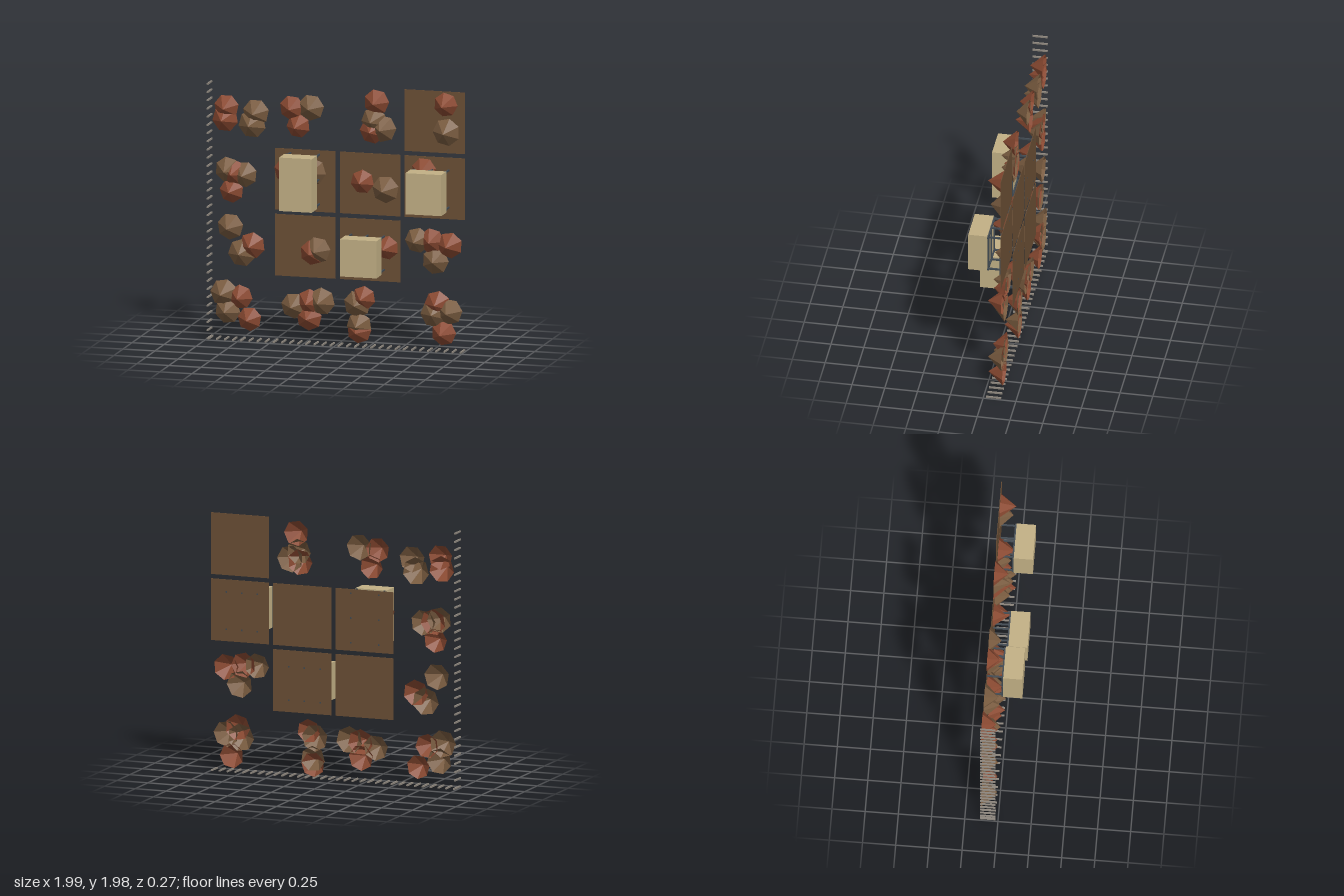
import * as THREE from 'three';

const mat = (color, opts = {}) => new THREE.MeshStandardMaterial({ color, ...opts });
const BACK = -0.135; // rear plane everything starts from

export function createModel() {
  const model = new THREE.Group();
  const brown = mat(0x6b4f35), tan = mat(0xc2b085), steel = mat(0x414a52), grey = mat(0x8c857c);
  const faceted = { flatShading: true, side: THREE.DoubleSide };
  const redRock = mat(0x8b4a32, faceted), brownRock = mat(0x7a5c40, faceted);

  // box given by its extents
  const box = (parent, name, m, x0, x1, y0, y1, z0, z1) => {
    const mesh = new THREE.Mesh(new THREE.BoxGeometry(x1 - x0, y1 - y0, z1 - z0), m);
    mesh.position.set((x0 + x1) / 2, (y0 + y1) / 2, (z0 + z1) / 2);
    mesh.name = name;
    parent.add(mesh);
  };

  // square ground tiles on a regular grid: column, row
  for (const [col, row] of [[2, 2], [0, 1], [1, 1], [2, 1], [0, 0], [1, 0]]) {
    const x = -0.255 + col * 0.505, y = 0.745 + row * 0.505;
    box(model, 'groundTile', brown, x - 0.236, x + 0.236, y - 0.236, y + 0.236, BACK, BACK + 0.004);
  }

  // block buildings raised on a steel frame with posts
  const buildings = [[-0.385, -0.13, 1.06, 1.47], [0.6, 0.88, 1.09, 1.405], [0.09, 0.375, 0.585, 0.87]];
  for (const [x0, x1, y0, y1] of buildings) {
    const g = new THREE.Group();
    g.name = 'building';
    model.add(g);
    box(g, 'block', tan, x0, x1, y0, y1, -0.01, 0.135);
    const tall = y1 - y0 > x1 - x0 + 0.1;
    const w = 0.006, inset = 0.015;
    const spread = (a, b, count) =>
      Array.from({ length: count }, (_, i) => THREE.MathUtils.lerp(a + inset, b - inset, i / (count - 1)));
    const xs = spread(x0, x1, tall ? 2 : 3), ys = spread(y0, y1, tall ? 3 : 2);
    for (const x of xs) {
      box(g, 'beam', steel, x - w, x + w, y0, y1, -0.022, -0.01);
      for (const y of ys) box(g, 'post', steel, x - w, x + w, y - w, y + w, BACK - 0.001, -0.02);
    }
    for (const y of ys) box(g, 'crossBeam', steel, x0, x1, y - w, y + w, -0.022, -0.01);
  }

  // pointed rocks: seven-sided open cones, apex to the front, size and turn varied by a rule
  const addRocks = (name, material, radius, centres) => {
    const g = new THREE.Group();
    g.name = name;
    model.add(g);
    centres.forEach(([x, y], i) => {
      const height = 0.108 + 0.014 * Math.sin(i * 2.4);
      const geo = new THREE.ConeGeometry(radius + 0.005 * Math.sin(i * 1.7), height, 7, 1, true, i * 1.3);
      geo.rotateX(Math.PI / 2);
      const rock = new THREE.Mesh(geo, material);
      rock.position.set(x, y, BACK + 0.005 + height / 2);
      rock.name = 'rock';
      g.add(rock);
    });
  };
  addRocks('redRocks', redRock, 0.097, [
    [-0.87, 1.78], [-0.88, 1.69], [-0.36, 1.8], [-0.31, 1.665], [0.3, 1.88], [0.27, 1.66], [0.84, 1.89],
    [-0.83, 1.14], [-0.81, 1.28], [-0.4, 1.32], [0.19, 1.265], [0.67, 1.38],
    [-0.67, 0.73], [-0.2, 0.7], [0.38, 0.77], [0.73, 0.84], [0.87, 0.815],
    [-0.76, 0.33], [-0.69, 0.165], [-0.22, 0.32], [-0.225, 0.2], [0.2, 0.375], [0.165, 0.12],
    [0.775, 0.36], [0.825, 0.14],
  ]);
  addRocks('brownRocks', brownRock, 0.103, [
    [-0.64, 1.75], [-0.67, 1.66], [-0.21, 1.81], [0.28, 1.74], [0.35, 1.68], [0.845, 1.68],
    [-0.86, 1.3], [-0.73, 1.27], [-0.2, 1.32], [0.37, 1.215], [0.68, 1.13],
    [-0.84, 0.865], [-0.75, 0.67], [-0.16, 0.72], [0.62, 0.84], [0.76, 0.69],
    [-0.89, 0.355], [-0.86, 0.22], [-0.345, 0.285], [-0.13, 0.33], [0.15, 0.325], [0.165, 0.165],
    [0.87, 0.305], [0.75, 0.285],
  ]);

  // rows of stakes along the bottom and one side edge
  const s = 0.006;
  for (let i = 0; i < 32; i++) {
    const t = i * 0.0634;
    const x = -0.98 + t, y = 0.02 + t * 0.992;
    box(model, 'bottomStake', grey, x - s, x + s, 0.012, 0.024, BACK, -0.02);
    box(model, 'sideStake', grey, -0.993, -0.981, y - s, y + s, BACK, -0.02);
  }
  return model;
}
